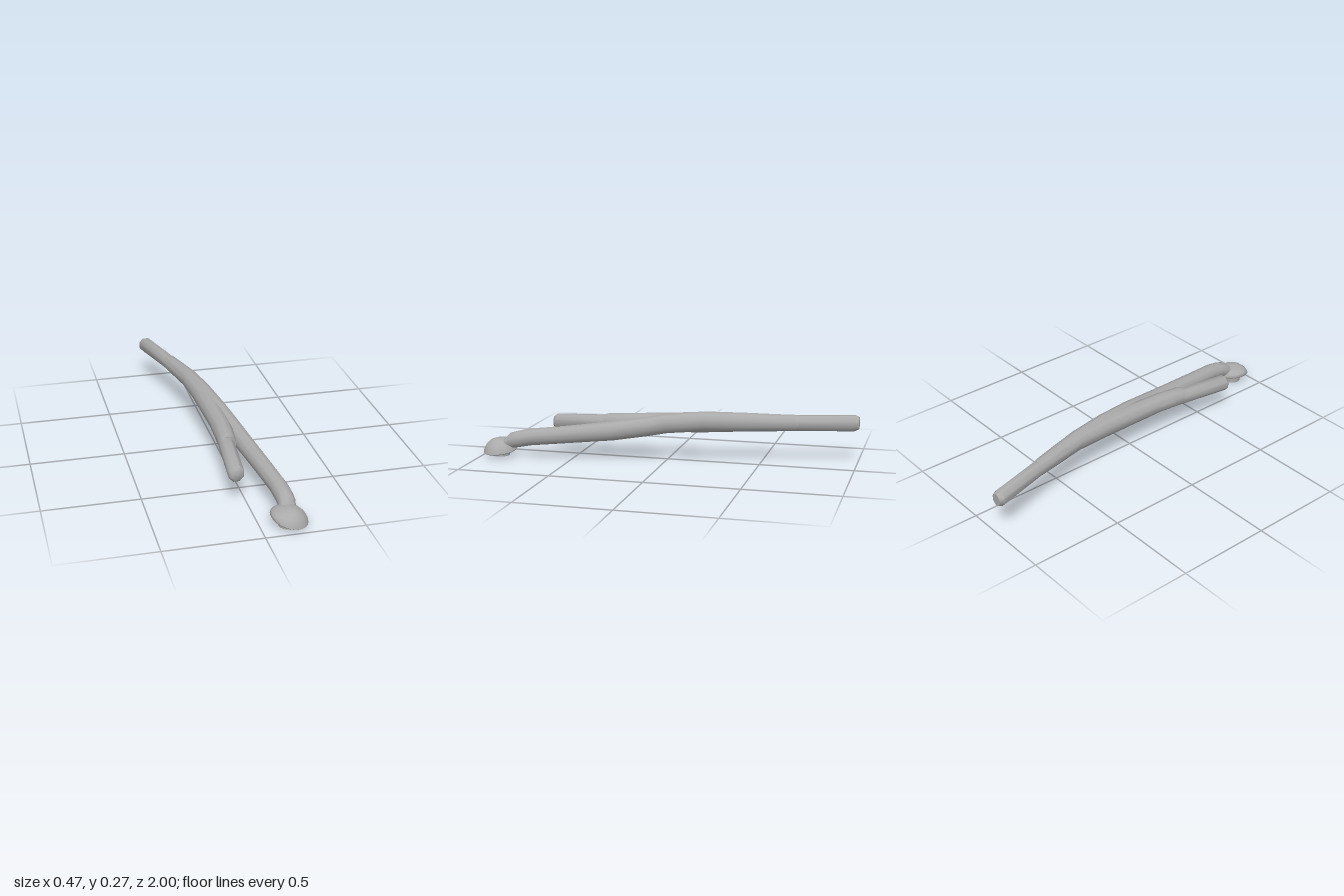
import * as THREE from 'three';
import { toCreasedNormals } from 'three/addons/utils/BufferGeometryUtils.js';

// Closed tube through upright cross-sections [x, y, z, rx, ry], ordered front to back
function limb(sections, sides) {
  const pos = [], idx = [];
  for (const [x, y, z, rx, ry] of sections) {
    for (let j = 0; j < sides; j++) {
      const a = ((j + 0.5) / sides) * Math.PI * 2;
      pos.push(x + rx * Math.cos(a), y + ry * Math.sin(a), z);
    }
  }
  const last = sections.length - 1;
  const front = pos.length / 3, back = front + 1;
  pos.push(...sections[0].slice(0, 3), ...sections[last].slice(0, 3));
  for (let j = 0; j < sides; j++) {
    const k = (j + 1) % sides;
    for (let i = 0; i < last; i++) {
      const a = i * sides + j, b = i * sides + k;
      idx.push(a, a + sides, b, b, a + sides, b + sides);
    }
    idx.push(front, j, k, back, last * sides + k, last * sides + j);
  }
  const geo = new THREE.BufferGeometry();
  geo.setAttribute('position', new THREE.Float32BufferAttribute(pos, 3));
  geo.setIndex(idx);
  return toCreasedNormals(geo, 0.9);
}

export function createModel() {
  const group = new THREE.Group();
  const grey = new THREE.MeshStandardMaterial({ color: 0xaaaaaa });
  grey.name = 'grey';
  grey.side = THREE.DoubleSide;
  const add = (name, geo) => {
    const mesh = new THREE.Mesh(geo, grey);
    mesh.name = name;
    group.add(mesh);
    return mesh;
  };

  // Thin core rod, showing at the short fork and at the back tip
  add('coreRod', limb([
    [-0.051, 0.161, 0.66, 0.029, 0.031],
    [-0.051, 0.161, 0.645, 0.042, 0.045],
    [-0.025, 0.178, 0.32, 0.042, 0.043],
    [-0.02, 0.2, 0, 0.042, 0.043],
    [-0.055, 0.212, -0.4, 0.042, 0.043],
    [-0.12, 0.212, -0.7, 0.041, 0.043],
    [-0.195, 0.21, -0.975, 0.042, 0.045],
    [-0.198, 0.21, -1, 0.031, 0.033],
  ], 8));

  // Sleeve around the short fork, blending into the long one
  add('forkSleeve', limb([
    [-0.022, 0.178, 0.36, 0.044, 0.045],
    [-0.02, 0.182, 0.33, 0.048, 0.049],
    [-0.012, 0.19, 0.2, 0.05, 0.05],
    [-0.016, 0.198, 0, 0.054, 0.054],
    [-0.028, 0.208, -0.2, 0.053, 0.056],
    [-0.05, 0.213, -0.4, 0.046, 0.05],
    [-0.085, 0.213, -0.55, 0.042, 0.047],
  ], 10));

  // Long sleeve, bending down into the cap
  add('longSleeve', limb([
    [0.145, 0.06, 0.89, 0.04, 0.025],
    [0.148, 0.085, 0.845, 0.044, 0.043],
    [0.147, 0.096, 0.8, 0.045, 0.046],
    [0.14, 0.11, 0.73, 0.045, 0.047],
    [0.115, 0.127, 0.55, 0.046, 0.048],
    [0.072, 0.155, 0.28, 0.048, 0.053],
    [0.04, 0.182, 0.1, 0.048, 0.053],
    [0.018, 0.2, 0, 0.047, 0.054],
    [-0.015, 0.215, -0.2, 0.047, 0.054],
    [-0.047, 0.215, -0.4, 0.046, 0.052],
    [-0.085, 0.213, -0.56, 0.045, 0.047],
    [-0.113, 0.212, -0.68, 0.039, 0.044],
    [-0.114, 0.212, -0.695, 0.034, 0.04],
  ], 10));

  // Domed cap with a tilted, wavy rim and a shallow hollow underneath
  const R = 0.093;
  const profile = [[0, 0.048], [0.05, 0.044], [R - 0.006, 0.03], [R, 0.036], [0.089, 0.052],
    [0.076, 0.071], [0.055, 0.086], [0.028, 0.094], [0, 0.096]]
    .map(([r, y]) => new THREE.Vector2(r, y));
  const dome = new THREE.LatheGeometry(profile, 24);
  const p = dome.attributes.position;
  for (let i = 0; i < p.count; i++) {
    const x = p.getX(i) / R, z = p.getZ(i) / R, w = x * x + z * z;
    p.setY(i, p.getY(i) + w * (-0.021 * x - 0.008 * z + 0.008 * x * x * w - 0.003));
  }
  const cap = add('cap', toCreasedNormals(dome, 0.9));
  cap.position.set(0.142, 0, 0.907);

  // Round peg under the cap
  const peg = add('peg', toCreasedNormals(new THREE.CylinderGeometry(0.048, 0.048, 0.05, 16), 0.9));
  peg.position.set(0.139, 0.025, 0.907);

  return group;
}
